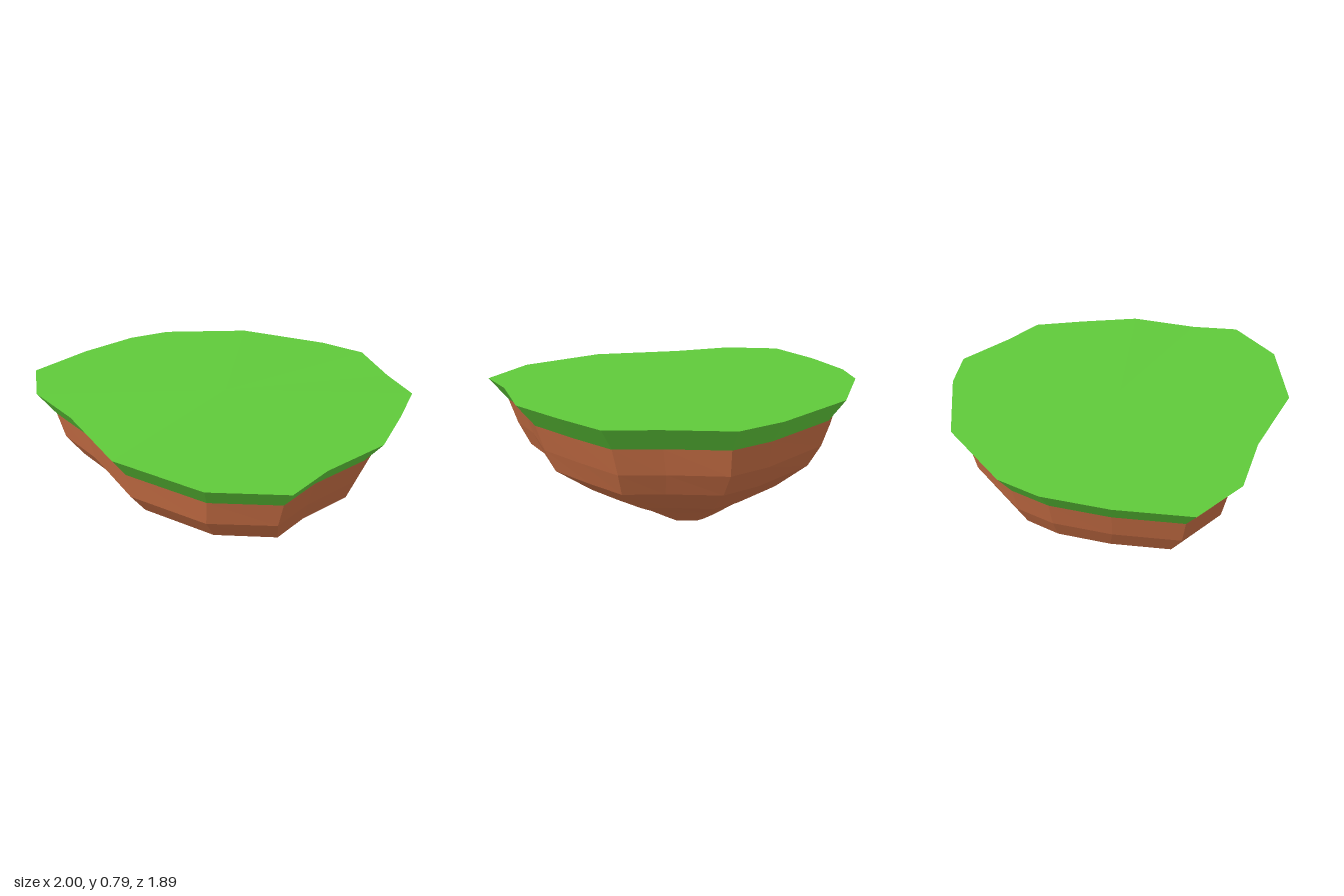
import * as THREE from 'three';

// Irregular outline of the rim, x and z, going from +x towards +z
const OUTLINE = [
  [1, -0.01], [0.93, 0.37], [0.93, 0.64], [0.62, 0.87], [0.11, 0.94], [-0.38, 0.77],
  [-0.74, 0.7], [-1, 0.5], [-1, 0.12], [-0.95, -0.22], [-0.85, -0.44], [-0.48, -0.78],
  [0.03, -0.93], [0.3, -0.95], [0.59, -0.75], [0.82, -0.62], [0.91, -0.34],
];

// One horizontal ring: the outline scaled, shifted and set at a height
const ring = (y, sx, sz = sx, dx = 0, dz = 0) =>
  OUTLINE.map(([x, z]) => [x * sx + dx, y, z * sz + dz]);

// A ring collapsed to one point, which closes the skin
const point = (x, y, z) => OUTLINE.map(() => [x, y, z]);

// Faceted skin through rings listed from top to bottom
function loft(name, rings, color) {
  const positions = [];
  const n = OUTLINE.length;
  const same = (p, q) => p.every((v, k) => v === q[k]);
  const triangle = (a, b, c) => {
    if (!same(a, b) && !same(b, c) && !same(a, c)) positions.push(...a, ...b, ...c);
  };
  for (let r = 0; r < rings.length - 1; r++) {
    for (let i = 0; i < n; i++) {
      const j = (i + 1) % n;
      triangle(rings[r][i], rings[r][j], rings[r + 1][i]);
      triangle(rings[r][j], rings[r + 1][j], rings[r + 1][i]);
    }
  }
  const geometry = new THREE.BufferGeometry();
  geometry.setAttribute('position', new THREE.Float32BufferAttribute(positions, 3));
  geometry.computeVertexNormals();
  const material = new THREE.MeshStandardMaterial({ color, flatShading: true });
  const mesh = new THREE.Mesh(geometry, material);
  mesh.name = name;
  return mesh;
}

export function createModel() {
  const group = new THREE.Group();
  group.name = 'floatingIsland';

  // Gently domed grass top with its overhanging edge
  const brim = ring(0.65, 0.905);
  group.add(loft('grass', [point(0.03, 0.785, 0.02), ring(0.77, 1), brim], 0x5fc93a));

  // Earth underside tapering to a small blunt tip
  group.add(loft('earth', [
    brim,
    ring(0.51, 0.86, 0.875),
    ring(0.39, 0.8, 0.79, 0.01, -0.01),
    ring(0.25, 0.595, 0.605, 0.02, -0.02),
    ring(0.14, 0.395, 0.38, 0.01, -0.03),
    ring(0.015, 0.18, 0.18, 0.01, -0.04),
    point(0.01, 0, -0.03),
  ], 0xc46c43));

  return group;
}
